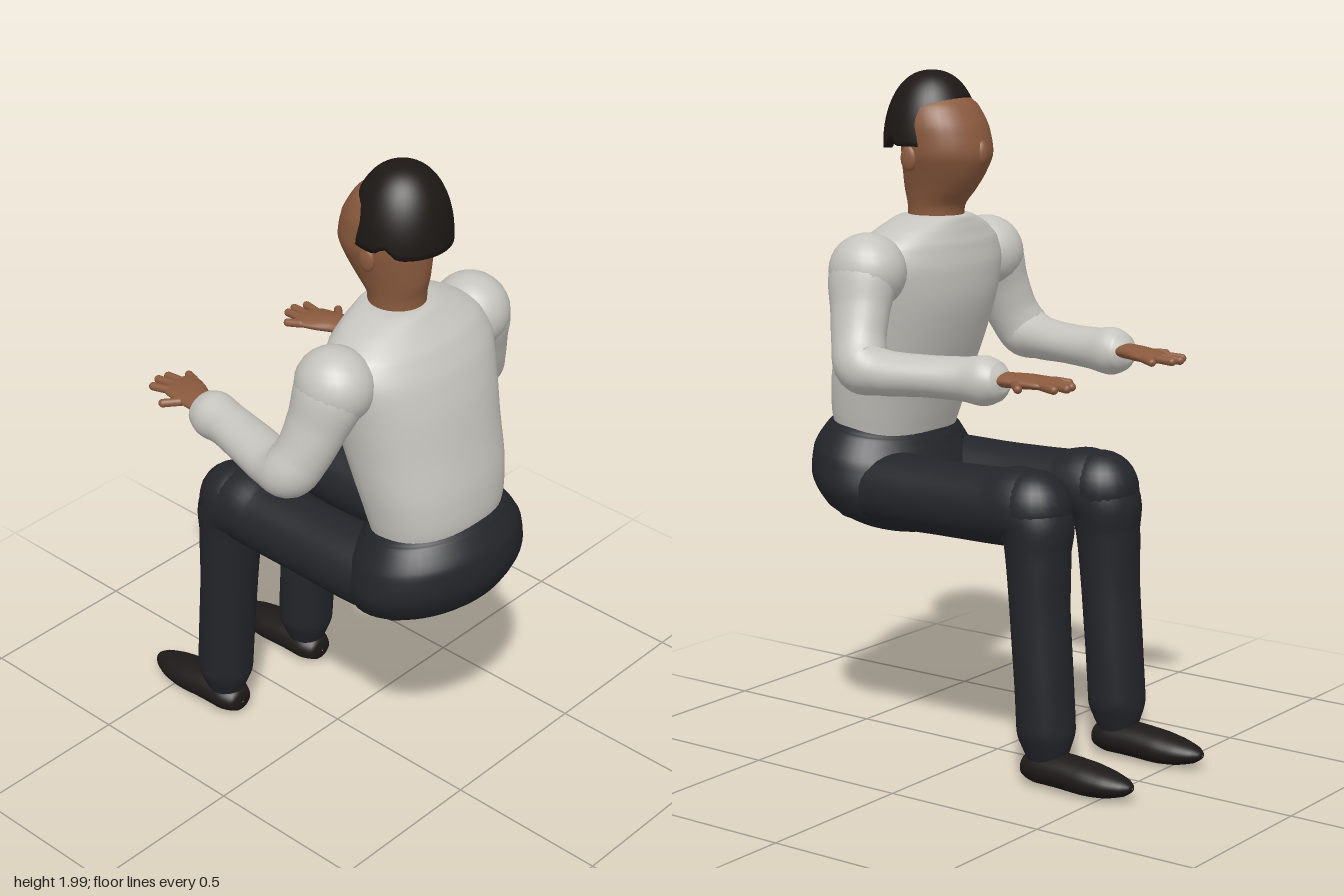
import * as THREE from 'three';

const mat = (color) => new THREE.MeshStandardMaterial({ color, roughness: 0.9 });

// Closed smooth skin through sections [x, y, z, halfWidth, halfDepth].
// Rings face the given normal, or follow the path when none is given.
function loft(sections, { normal = null, steps = 5, seg = 32, e = 1 } = {}) {
  const path = new THREE.CatmullRomCurve3(sections.map((s) => new THREE.Vector3(s[0], s[1], s[2])));
  const size = new THREE.CatmullRomCurve3(sections.map((s) => new THREE.Vector3(s[3], s[4], 0)));
  const n = (sections.length - 1) * steps;
  const pos = [], idx = [];
  const pw = (v) => Math.sign(v) * Math.abs(v) ** e;
  for (let i = 0; i <= n; i++) {
    const c = path.getPoint(i / n), r = size.getPoint(i / n);
    const t = normal ? normal.clone().normalize() : path.getTangent(i / n);
    const u = new THREE.Vector3(1, 0, 0).addScaledVector(t, -t.x).normalize();
    const v = t.clone().cross(u);
    for (let j = 0; j < seg; j++) {
      const a = (j / seg) * Math.PI * 2;
      const p = c.clone()
        .addScaledVector(u, pw(Math.cos(a)) * Math.max(r.x, 0.001))
        .addScaledVector(v, pw(Math.sin(a)) * Math.max(r.y, 0.001));
      pos.push(p.x, p.y, p.z);
      if (i < n) {
        const k = (j + 1) % seg, b = i * seg, d = b + seg;
        idx.push(b + j, b + k, d + k, b + j, d + k, d + j);
      }
    }
  }
  const g = new THREE.BufferGeometry();
  g.setAttribute('position', new THREE.Float32BufferAttribute(pos, 3));
  g.setIndex(idx);
  g.computeVertexNormals();
  return g;
}

// Hair cap: a dome whose lower edge rises over the forehead
function hairGeometry() {
  const seg = 64, rows = 20, pos = [], idx = [];
  const cy = 1.79, ry = 0.21;
  for (let i = 0; i <= rows + 1; i++) {
    for (let j = 0; j < seg; j++) {
      const a = (j / seg) * Math.PI * 2;
      const off = Math.abs(a > Math.PI ? a - Math.PI * 2 : a) * 180 / Math.PI; // 0 = face side
      const low = 1.92 - 0.035 * THREE.MathUtils.smoothstep(off, 15, 50)
        - 0.095 * THREE.MathUtils.smoothstep(off, 48, 66)
        + 0.025 * Math.exp(-(((off - 112) / 9) ** 2)) - 0.012 * THREE.MathUtils.smoothstep(off, 85, 130);
      const end = Math.acos((low - cy) / ry);
      const th = end * Math.min(i / rows, 1);
      const r = 0.141 * Math.sin(th) ** 0.88 * (i > rows ? 0.84 : 1);
      pos.push(Math.sin(a) * r, cy + ry * Math.cos(th), 0.235 - Math.cos(a) * r);
      if (i <= rows) {
        const k = (j + 1) % seg, b = i * seg, d = b + seg;
        idx.push(b + j, b + k, d + k, b + j, d + k, d + j);
      }
    }
  }
  const g = new THREE.BufferGeometry();
  g.setAttribute('position', new THREE.Float32BufferAttribute(pos, 3));
  g.setIndex(idx);
  g.computeVertexNormals();
  return g;
}

export function createModel() {
  const model = new THREE.Group();
  const skin = mat(0x8a5a3e), shirt = mat(0xc6c4be), trousers = mat(0x24252a);
  const hair = mat(0x1d1815), shoe = mat(0x1d1a18);
  const up = new THREE.Vector3(0, 1, 0);

  const add = (name, geometry, material, parent = model) => {
    const m = new THREE.Mesh(geometry, material);
    m.name = name;
    parent.add(m);
    return m;
  };
  const ball = (name, material, parent, p, r) => {
    const m = add(name, new THREE.SphereGeometry(1, 24, 16), material, parent);
    m.position.set(...p);
    m.scale.set(...r);
    return m;
  };

  // Head and neck
  add('head', loft([
    [0, 1.54, 0.22, 0.08, 0.08], [0, 1.61, 0.22, 0.083, 0.083], [0, 1.66, 0.205, 0.095, 0.108],
    [0, 1.71, 0.19, 0.112, 0.125], [0, 1.77, 0.18, 0.131, 0.134], [0, 1.84, 0.19, 0.132, 0.128],
    [0, 1.9, 0.205, 0.115, 0.108], [0, 1.94, 0.215, 0.07, 0.07], [0, 1.95, 0.215, 0.002, 0.002],
  ], { normal: up }), skin);
  ball('nose', skin, model, [0, 1.77, 0.063], [0.025, 0.04, 0.026]);
  add('hair', hairGeometry(), hair);

  // Torso
  add('torso', loft([
    [0, 0.92, 0.375, 0.2, 0.14], [0, 1.0, 0.37, 0.218, 0.163], [0, 1.1, 0.35, 0.235, 0.178],
    [0, 1.22, 0.315, 0.248, 0.187], [0, 1.34, 0.285, 0.265, 0.19], [0, 1.44, 0.265, 0.28, 0.175],
    [0, 1.51, 0.25, 0.255, 0.148], [0, 1.555, 0.235, 0.19, 0.118], [0, 1.585, 0.225, 0.11, 0.095],
    [0, 1.59, 0.22, 0.06, 0.06],
  ], { normal: up, seg: 48, e: 0.9 }), shirt);

  // Hips, with the waistband sloping down to the front
  add('hips', loft([
    [0, 0.665, 0.34, 0.002, 0.002], [0, 0.672, 0.34, 0.17, 0.14], [0, 0.72, 0.36, 0.255, 0.2],
    [0, 0.8, 0.375, 0.292, 0.222], [0, 0.88, 0.38, 0.278, 0.212], [0, 0.935, 0.38, 0.245, 0.18],
    [0, 0.957, 0.378, 0.222, 0.163], [0, 0.957, 0.378, 0.1, 0.08],
  ], { normal: new THREE.Vector3(0, 1, -0.15), seg: 48 }), trousers);

  for (const s of [1, -1]) {
    const side = s > 0 ? 'left' : 'right';
    const mx = (list) => list.map(([x, ...rest]) => [x * s, ...rest]);
    ball(side + 'Ear', skin, model, [s * 0.127, 1.755, 0.222], [0.013, 0.037, 0.027]);

    // Sleeve from shoulder to cuff
    const arm = new THREE.Group();
    arm.name = side + 'Arm';
    model.add(arm);
    ball('shoulder', shirt, arm, [s * 0.282, 1.445, 0.25], [0.108, 0.11, 0.115]);
    add('sleeve', loft(mx([
      [0.27, 1.49, 0.255, 0.07, 0.075], [0.3, 1.43, 0.25, 0.093, 0.105], [0.335, 1.34, 0.235, 0.078, 0.09],
      [0.37, 1.25, 0.212, 0.075, 0.08], [0.392, 1.197, 0.182, 0.079, 0.08], [0.383, 1.182, 0.12, 0.075, 0.065],
      [0.35, 1.18, 0.0, 0.074, 0.059], [0.322, 1.18, -0.12, 0.067, 0.062], [0.312, 1.18, -0.185, 0.07, 0.07],
      [0.306, 1.182, -0.23, 0.058, 0.055], [0.304, 1.184, -0.25, 0.03, 0.028], [0.304, 1.184, -0.253, 0.002, 0.002],
    ]), { steps: 6 }), shirt, arm);

    // Open hand, palm up, thumb outward
    const hand = new THREE.Group();
    hand.name = side + 'Hand';
    model.add(hand);
    add('palm', loft(mx([
      [0.302, 1.188, -0.22, 0.04, 0.022], [0.297, 1.188, -0.26, 0.046, 0.021], [0.282, 1.187, -0.31, 0.057, 0.02],
      [0.27, 1.185, -0.36, 0.062, 0.016], [0.265, 1.183, -0.385, 0.052, 0.012], [0.264, 1.183, -0.393, 0.002, 0.002],
    ]), { normal: new THREE.Vector3(0, 0, -1), seg: 24 }), skin, hand);
    const digits = [
      ['littleFinger', 0.225, -0.35, 0.205, -0.4], ['ringFinger', 0.25, -0.36, 0.252, -0.44],
      ['middleFinger', 0.275, -0.36, 0.285, -0.447], ['indexFinger', 0.303, -0.35, 0.323, -0.43],
      ['thumb', 0.315, -0.285, 0.372, -0.342],
    ];
    for (const [name, x0, z0, x1, z1] of digits) {
      const a = new THREE.Vector3(s * x0, 1.186, z0), b = new THREE.Vector3(s * x1, 1.18, z1);
      const g = new THREE.CapsuleGeometry(0.0125, a.distanceTo(b) - 0.0125, 6, 12);
      const m = add(name, g, skin, hand);
      m.position.copy(a).add(b).multiplyScalar(0.5);
      m.quaternion.setFromUnitVectors(up, b.clone().sub(a).normalize());
    }

    // Bent leg: thigh, knee and shin
    const leg = new THREE.Group();
    leg.name = side + 'Leg';
    model.add(leg);
    add('trouserLeg', loft(mx([
      [0.15, 0.8, 0.46, 0.05, 0.05], [0.152, 0.795, 0.4, 0.115, 0.11], [0.158, 0.79, 0.25, 0.117, 0.112],
      [0.162, 0.79, 0.05, 0.112, 0.109], [0.164, 0.793, -0.13, 0.112, 0.11], [0.167, 0.798, -0.215, 0.111, 0.117],
      [0.17, 0.765, -0.26, 0.106, 0.108], [0.175, 0.68, -0.27, 0.096, 0.093], [0.178, 0.5, -0.28, 0.09, 0.084],
      [0.179, 0.3, -0.295, 0.088, 0.083], [0.18, 0.17, -0.303, 0.085, 0.084], [0.18, 0.115, -0.305, 0.065, 0.07],
      [0.18, 0.08, -0.305, 0.05, 0.055],
    ]), { steps: 6 }), trousers, leg);
    ball('knee', trousers, leg, [s * 0.168, 0.802, -0.25], [0.108, 0.112, 0.112]);

    // Shoe
    add('shoe', loft(mx([
      [0.18, 0.055, -0.232, 0.002, 0.002], [0.18, 0.057, -0.24, 0.04, 0.034], [0.18, 0.06, -0.29, 0.062, 0.049],
      [0.181, 0.06, -0.37, 0.063, 0.05], [0.182, 0.055, -0.45, 0.065, 0.048], [0.183, 0.052, -0.52, 0.056, 0.039],
      [0.183, 0.052, -0.575, 0.034, 0.024], [0.183, 0.053, -0.596, 0.014, 0.01], [0.183, 0.053, -0.6, 0.002, 0.002],
    ]), { normal: new THREE.Vector3(0, 0, -1) }), shoe, leg);
  }

  // Stand on the ground
  const box = new THREE.Box3().setFromObject(model);
  model.children.forEach((c) => { c.position.y -= box.min.y; });
  return model;
}
